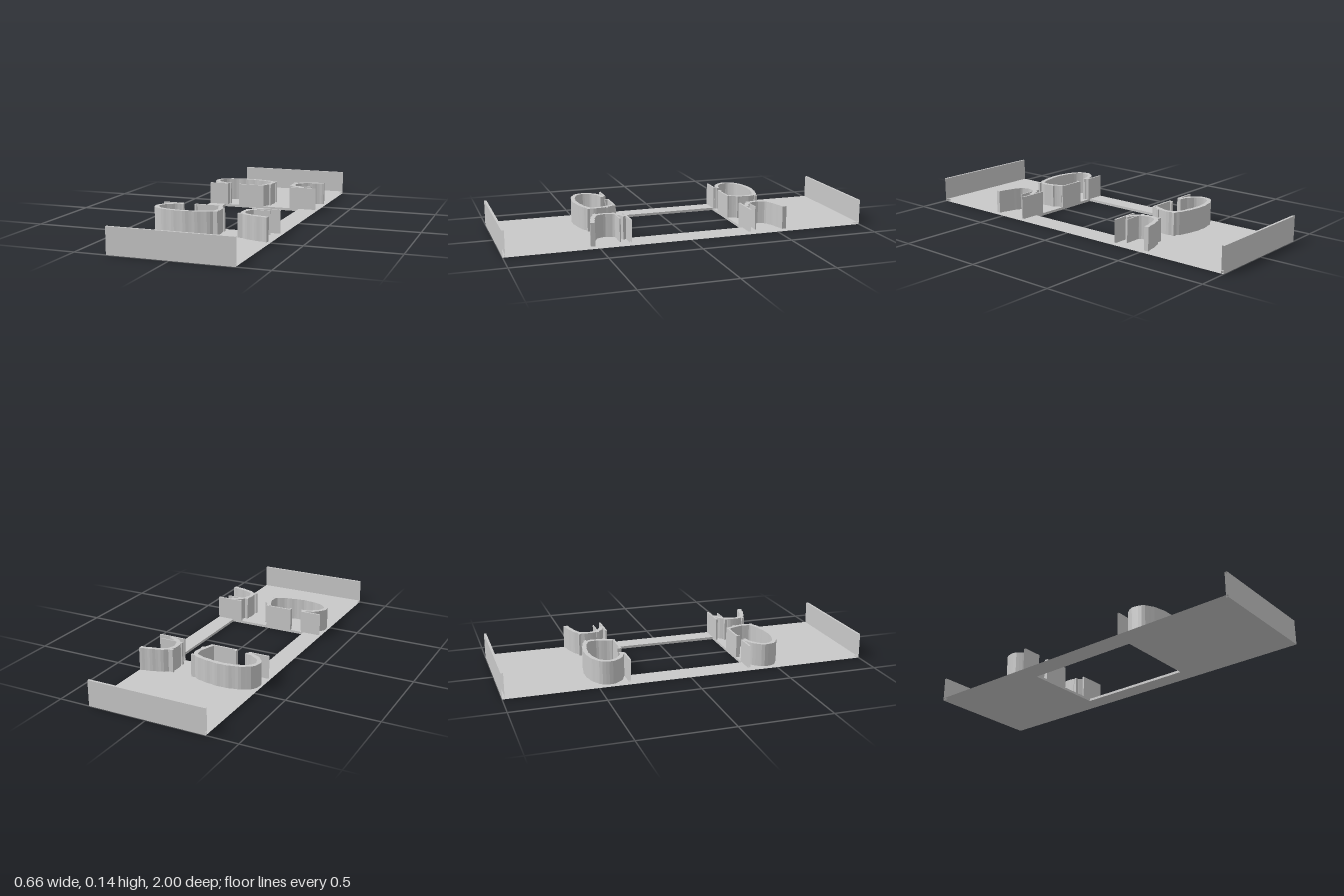
import * as THREE from 'three';

const HALF_W = 0.328, FLOOR = 0.014, TOP = 0.14;

export function createModel() {
  const model = new THREE.Group();
  model.name = 'model';
  const grey = new THREE.MeshStandardMaterial({ color: 0xc8c8c8, side: THREE.DoubleSide });
  grey.name = 'plain grey';

  const add = (geo, name) => {
    const mesh = new THREE.Mesh(geo, grey);
    mesh.name = name;
    model.add(mesh);
  };

  // Extrude a plan shape (x, -z) upwards from y0 to y1
  const raise = (shape, y0, y1) =>
    new THREE.ExtrudeGeometry(shape, { depth: y1 - y0, bevelEnabled: false })
      .rotateX(-Math.PI / 2).translate(0, y0, 0);

  const rect = (C, x0, x1, z0, z1) =>
    new C([[x0, z0], [x1, z0], [x1, z1], [x0, z1]].map(p => new THREE.Vector2(...p)));

  // Leave the long outer edges open by dropping faces that lie on them
  const openSides = (source) => {
    const g = source.index ? source.toNonIndexed() : source;
    const p = g.attributes.position, keep = [];
    for (let i = 0; i < p.count; i += 3) {
      const onSide = [1, -1].some(s => [0, 1, 2].every(k => s * p.getX(i + k) > HALF_W - 1e-4));
      if (!onSide) keep.push(i, i + 1, i + 2);
    }
    g.clearGroups();
    g.setIndex(keep);
    return g;
  };

  // Curved wall with slightly stepped faces along a plan path; s mirrors it front to back
  const band = (points, s, samples) => {
    const curve = new THREE.CatmullRomCurve3(points.map(([x, z]) => new THREE.Vector3(x, -s * z, 0)));
    const left = [], right = [];
    const side = (c, n, d) => new THREE.Vector2(
      THREE.MathUtils.clamp(c.x + n.x * d, -HALF_W, HALF_W), c.y + n.y * d);
    for (let i = 0; i <= samples; i++) {
      const c = curve.getPointAt(i / samples), t = curve.getTangentAt(i / samples);
      const n = new THREE.Vector2(-t.y, t.x);
      const half = i % 4 < 2 ? 0.0125 : 0.0105;
      left.push(side(c, n, half));
      right.unshift(side(c, n, -half));
    }
    return raise(new THREE.Shape([...left, ...right]), FLOOR, TOP);
  };

  // Upright box given by its plan limits
  const upright = (x0, x1, z0, z1, s, y0 = FLOOR) =>
    new THREE.BoxGeometry(x1 - x0, TOP - y0, z1 - z0)
      .translate((x0 + x1) / 2, (TOP + y0) / 2, s * (z0 + z1) / 2);

  // Floor slab with the rectangular opening
  const floor = rect(THREE.Shape, -HALF_W, HALF_W, -1, 1);
  floor.holes.push(rect(THREE.Path, -0.23, 0.23, -0.33, 0.33));
  add(openSides(raise(floor, 0, FLOOR)), 'floor');

  const roundPath = [[-0.21, 0.347], [-0.25, 0.36], [-0.295, 0.39], [-0.317, 0.434], [-0.305, 0.475],
    [-0.27, 0.502], [-0.22, 0.518], [-0.15, 0.526], [-0.07, 0.516], [-0.01, 0.5], [0.022, 0.478],
    [0.03, 0.434], [0.02, 0.39], [0, 0.342]];
  const openPath = [[0.328, 0.537], [0.26, 0.522], [0.2, 0.5], [0.176, 0.478], [0.166, 0.435], [0.18, 0.39],
    [0.21, 0.362], [0.25, 0.345]];

  for (const s of [1, -1]) {
    const end = s > 0 ? 'front' : 'back';
    add(openSides(upright(-HALF_W, HALF_W, 0.987, 1, s, 0)), end + 'EndWall');
    add(band(roundPath, s, 44), end + 'RoundWall');
    add(openSides(band(openPath, s, 24)), end + 'OpenWall');

    // Flat plates along the edge of the opening
    for (const [a, b] of [[-HALF_W, -0.215], [-0.146, 0.01], [0.174, HALF_W]])
      add(openSides(upright(a, b, 0.33, 0.34, s)), end + 'EdgePlate');

    // Inner partition and the small ribs joined to the curved walls
    add(upright(0.2, 0.29, 0.379, 0.385, s), end + 'Partition');
    for (const [a, b, z] of [[0.015, 0.042, 0.49], [0.152, 0.185, 0.49], [0.015, 0.04, 0.385],
      [0.158, 0.185, 0.385], [-0.215, -0.203, 0.355], [-0.146, -0.134, 0.345]])
      add(upright(a, b, z - 0.007, z + 0.007, s), end + 'Rib');
  }
  return model;
}
